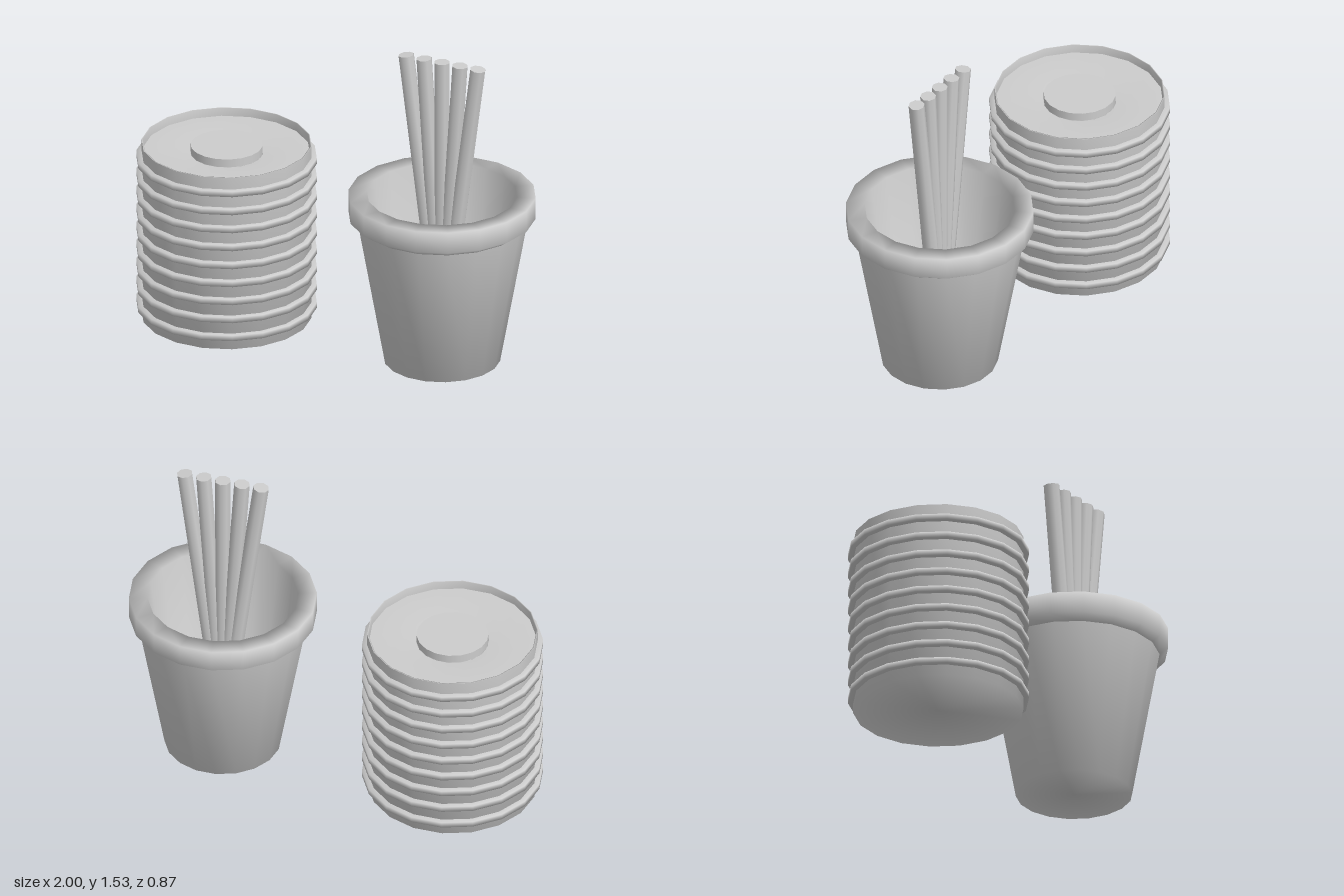
import * as THREE from 'three';

const SIDES = 18;

export function createModel() {
  const model = new THREE.Group();
  const grey = new THREE.MeshStandardMaterial({ color: 0xcccccc, side: THREE.DoubleSide });
  grey.name = 'lightGrey';

  function add(parent, geometry, name) {
    const mesh = new THREE.Mesh(geometry, grey);
    mesh.name = name;
    parent.add(mesh);
    return mesh;
  }

  // Eighteen-sided turned shape with a corner on the x axis
  function turned(profile) {
    const points = profile.map(([r, y]) => new THREE.Vector2(r, y));
    return new THREE.LatheGeometry(points, SIDES, Math.PI / 2);
  }

  // Stack of lids: body with a recessed top and raised centre
  const stack = new THREE.Group();
  stack.name = 'lidStack';
  stack.position.x = -0.573;
  model.add(stack);
  add(stack, turned([[0, 0], [0.402, 0], [0.402, 0.885]]), 'stackBody');
  add(stack, turned([[0.402, 0.885], [0.396, 0.885], [0.394, 0.845]]), 'stackRim');
  add(stack, turned([[0.394, 0.845], [0.28, 0.845], [0.172, 0.835]]), 'recessedTop');
  add(stack, turned([[0.17, 0.835], [0.17, 0.875]]), 'centreWall');
  add(stack, turned([[0.17, 0.875], [0, 0.875]]), 'centreDisc');

  // Lid edges
  for (let i = 0; i < 9; i++) {
    const ring = add(stack, turned([
      [0.39, -0.014], [0.427, -0.014], [0.427, 0.014], [0.39, 0.014],
    ]), 'lidEdge');
    ring.position.y = 0.067 + i * 0.093;
  }

  // Tapered cup with a thick rim and a hollow inside
  const cup = new THREE.Group();
  cup.name = 'cup';
  cup.position.x = 0.557;
  model.add(cup);
  add(cup, turned([[0, 0], [0.275, 0], [0.403, 0.715]]), 'cupWall');
  add(cup, turned([
    [0.4, 0.712], [0.443, 0.742], [0.443, 0.848], [0.355, 0.848],
    [0.25, 0.06], [0, 0.06],
  ]), 'cupRimAndInside');

  // Five sticks fanning out from the bottom of the cup
  const bottom = 0.1, top = 1.53;
  for (let i = -2; i <= 2; i++) {
    const from = new THREE.Vector3(i * 0.0, bottom, 0);
    const to = new THREE.Vector3(i * 0.094, top, 0);
    const axis = to.clone().sub(from);
    const stick = add(cup, new THREE.CylinderGeometry(0.038, 0.038, axis.length(), 8), 'stick');
    stick.position.copy(from).add(to).multiplyScalar(0.5);
    stick.quaternion.setFromUnitVectors(new THREE.Vector3(0, 1, 0), axis.normalize());
  }

  return model;
}
